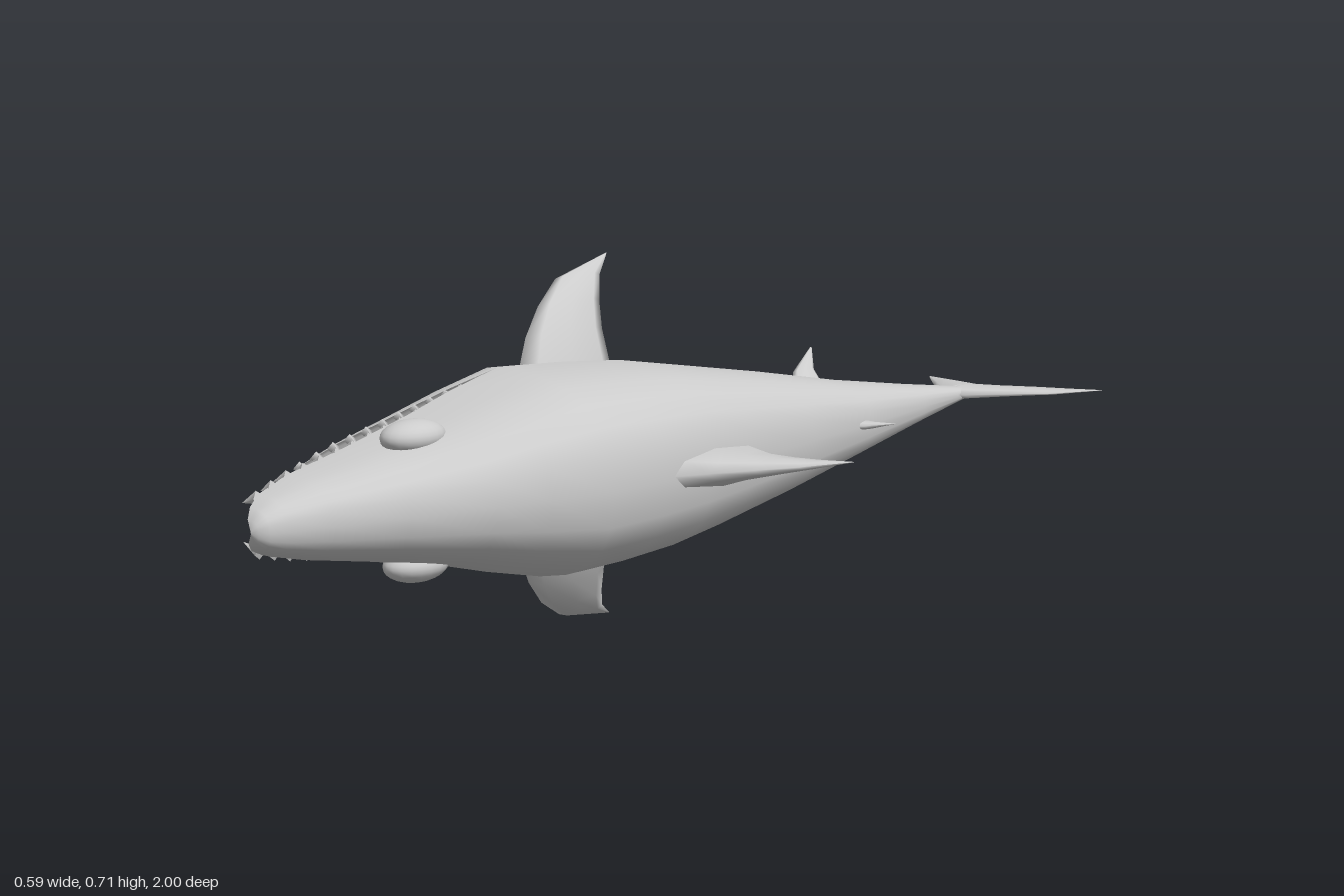
import * as THREE from 'three';
import { mergeGeometries, mergeVertices } from 'three/addons/utils/BufferGeometryUtils.js';

const material = new THREE.MeshStandardMaterial({ color: 0xcccccc, side: THREE.DoubleSide });
const MID = 0.3525; // height of the mirror plane between the two flanks

// The fish lies on its side: nose +z, back +x, flanks +y and -y.
// Stations: [z, outer x, mouth-line x, half width, centre y]
const TRUNK = [
  [-0.82, -0.045, -0.06, 0.004, 0.38], [-0.72, -0.025, -0.058, 0.019, 0.378],
  [-0.6, -0.008, -0.062, 0.04, 0.373], [-0.4, 0.03, -0.072, 0.076, 0.366],
  [-0.2, 0.067, -0.088, 0.116, 0.362], [0, 0.103, -0.11, 0.152, 0.358],
  [0.12, 0.123, -0.125, 0.172, 0.357], [0.25, 0.142, -0.14, 0.181, 0.356],
  [0.38, 0.15, -0.155, 0.185, 0.355],
];
const BELLY_X = [-0.075, -0.09, -0.108, -0.145, -0.185, -0.222, -0.238, -0.253, -0.262];
const UPPER = [...TRUNK,
  [0.5, 0.13, -0.147, 0.156, 0.354], [0.6, 0.107, -0.137, 0.127, 0.353],
  [0.75, 0.066, -0.115, 0.094, 0.351], [0.88, 0.032, -0.095, 0.069, 0.35],
  [0.95, 0.011, -0.075, 0.05, 0.349], [0.98, 0.001, -0.055, 0.036, 0.349],
  [0.995, -0.01, -0.04, 0.02, 0.349], [1, -0.025, -0.025, 0.002, 0.349],
];
const LOWER = [...TRUNK.map((s, i) => [s[0], BELLY_X[i], s[2], s[3], s[4]]),
  [0.5, -0.245, -0.16, 0.155, 0.354], [0.6, -0.227, -0.166, 0.125, 0.353],
  [0.72, -0.209, -0.176, 0.088, 0.352], [0.79, -0.199, -0.182, 0.06, 0.351],
  [0.82, -0.193, -0.184, 0.035, 0.351], [0.835, -0.187, -0.185, 0.004, 0.351],
];

// Surface through a list of rings, each a list of [x, y, z]
function loft(rings, closed = false) {
  const n = rings[0].length, index = [];
  for (let i = 0; i < rings.length - 1; i++) {
    for (let j = 0; j < (closed ? n : n - 1); j++) {
      const k = (j + 1) % n, a = i * n + j, b = i * n + k;
      index.push(a, b, a + n, b, b + n, a + n);
    }
  }
  const g = new THREE.BufferGeometry();
  g.setAttribute('position', new THREE.Float32BufferAttribute(rings.flat(2), 3));
  g.setIndex(index);
  g.computeVertexNormals();
  return g;
}

// Half of a rounded-square ring, from one flank to the other
function arc([z, xOut, xm, w, cy], power, depth = 1, flip = false) {
  const pts = [];
  for (let i = 0; i <= 12; i++) {
    const t = Math.PI * i / 12, c = Math.cos(t) * (flip ? -1 : 1);
    const s = Math.max(0, Math.sin(t));
    pts.push([xm + (xOut - xm) * depth * Math.pow(s, power),
      cy + w * Math.sign(c) * Math.pow(Math.abs(c), power), z]);
  }
  return pts;
}

// Linear lookup in a station table
function at(table, z) {
  let i = 0;
  while (i < table.length - 2 && table[i + 1][0] < z) i++;
  const a = table[i], b = table[i + 1], t = (z - a[0]) / (b[0] - a[0]);
  return a.map((v, k) => v + (b[k] - v) * t);
}

function add(parent, geometry, name) {
  const mesh = new THREE.Mesh(geometry, material);
  mesh.name = name;
  parent.add(mesh);
  return mesh;
}

// Fin lofted along its span; sections: [x, y, leading z, trailing z, thickness]
function fin(sections) {
  return loft(sections.map(([x, y, lead, trail, th], i) => {
    const a = sections[Math.max(0, i - 1)], b = sections[Math.min(sections.length - 1, i + 1)];
    const dx = b[0] - a[0], dy = b[1] - a[1], len = Math.hypot(dx, dy);
    return Array.from({ length: 8 }, (_, j) => {
      const t = j * Math.PI / 4, off = Math.sin(t) * th / 2;
      return [x - dy / len * off, y + dx / len * off,
        (lead + trail) / 2 + (lead - trail) / 2 * Math.cos(t)];
    });
  }), true);
}

function mirrored(geometry) {
  const g = geometry.clone().scale(1, -1, 1).translate(0, 2 * MID, 0);
  for (let i = 0, a = g.index.array; i < a.length; i += 3) [a[i], a[i + 1]] = [a[i + 1], a[i]];
  return g;
}

// Pointed teeth along both edges of a jaw, growing towards the front
function teeth(parent, table, z0, z1, count, dir, name) {
  const row = new THREE.Group();
  row.name = name;
  for (const side of [-1, 1]) {
    for (let i = 0; i < count; i++) {
      const t = i / (count - 1), [z, , xm, w, cy] = at(table, z0 + (z1 - z0) * t);
      const len = (0.024 + 0.018 * t) * (i % 2 ? 0.8 : 1);
      const tooth = new THREE.ConeGeometry(0.009 + 0.003 * t, len, 4).translate(0, len / 2 - 0.004, 0);
      const mesh = add(row, tooth, 'tooth');
      mesh.position.set(xm, cy + side * w * 0.94, z);
      mesh.quaternion.setFromUnitVectors(new THREE.Vector3(0, 1, 0),
        new THREE.Vector3(dir, -side * 0.35, 0.15).normalize());
    }
  }
  parent.add(row);
}

export function createModel() {
  const model = new THREE.Group();
  model.name = 'shark';

  // Body: back and belly halves, welded behind the corner of the mouth
  const halves = [
    loft(UPPER.map((s) => arc(s, 0.78))),
    loft(LOWER.map((s) => arc(s, 0.85, 1, true))),
  ];
  halves.forEach((g) => g.deleteAttribute('normal'));
  const body = mergeVertices(mergeGeometries(halves), 1e-5);
  body.computeVertexNormals();
  add(model, body, 'body');

  // Hollow mouth lining, meeting at the hinge
  const lining = (table, depth) => loft(table.filter((s) => s[0] >= 0.38)
    .map((s) => arc(s, 0.9, depth * Math.min(1, (s[0] - 0.38) / 0.12))));
  add(model, lining(UPPER, 0.25), 'palate');
  add(model, lining(LOWER, 0.6), 'mouthFloor');
  teeth(model, UPPER, 0.43, 0.955, 15, -1, 'upperTeeth');
  teeth(model, LOWER, 0.43, 0.825, 13, 1, 'lowerTeeth');

  // Eyes
  for (const side of [-1, 1]) {
    const eye = add(model, new THREE.SphereGeometry(1, 20, 14), 'eye');
    eye.scale.set(0.045, 0.03, 0.062);
    eye.position.set(-0.042, MID + side * 0.11, 0.66);
  }

  // Paired fins
  const pectoral = fin([
    [-0.145, 0.47, 0.35, 0.11, 0.05], [-0.165, 0.53, 0.325, 0.11, 0.05],
    [-0.188, 0.58, 0.29, 0.105, 0.04], [-0.212, 0.63, 0.24, 0.09, 0.03],
    [-0.25, 0.672, 0.165, 0.055, 0.018], [-0.295, 0.705, 0, -0.003, 0.001],
  ]);
  const pelvic = fin([
    [-0.115, 0.42, -0.33, -0.42, 0.025], [-0.15, 0.452, -0.365, -0.425, 0.016],
    [-0.195, 0.488, -0.46, -0.465, 0.001],
  ]);
  for (const [g, name] of [[pectoral, 'PectoralFin'], [pelvic, 'PelvicFin']]) {
    add(model, g, 'upper' + name);
    add(model, mirrored(g), 'lower' + name);
  }

  // Fins on the centre line
  add(model, fin([
    [0.08, 0.358, 0.27, -0.045, 0.075], [0.135, 0.36, 0.23, -0.02, 0.065],
    [0.17, 0.363, 0.175, -0.008, 0.046], [0.215, 0.366, 0.105, -0.015, 0.03],
    [0.255, 0.368, 0.035, -0.036, 0.016], [0.295, 0.37, -0.062, -0.066, 0.001],
  ]), 'dorsalFin');
  add(model, fin([
    [0.015, 0.366, -0.33, -0.405, 0.022], [0.045, 0.368, -0.365, -0.4, 0.014],
    [0.075, 0.37, -0.415, -0.42, 0.001],
  ]), 'rearDorsalFin');
  add(model, fin([
    [-0.105, 0.368, -0.4, -0.47, 0.022], [-0.13, 0.368, -0.44, -0.48, 0.014],
    [-0.157, 0.37, -0.508, -0.512, 0.001],
  ]), 'analFin');

  // Forked tail
  add(model, fin([
    [-0.06, 0.38, -0.69, -0.835, 0.03], [-0.02, 0.38, -0.735, -0.865, 0.024],
    [0.035, 0.38, -0.81, -0.915, 0.016], [0.085, 0.379, -0.88, -0.96, 0.009],
    [0.128, 0.378, -0.994, -1, 0.001],
  ]), 'upperTailLobe');
  add(model, fin([
    [-0.05, 0.38, -0.69, -0.835, 0.03], [-0.09, 0.38, -0.73, -0.845, 0.024],
    [-0.16, 0.379, -0.8, -0.865, 0.014], [-0.245, 0.378, -0.882, -0.889, 0.001],
  ]), 'lowerTailLobe');

  return model;
}
